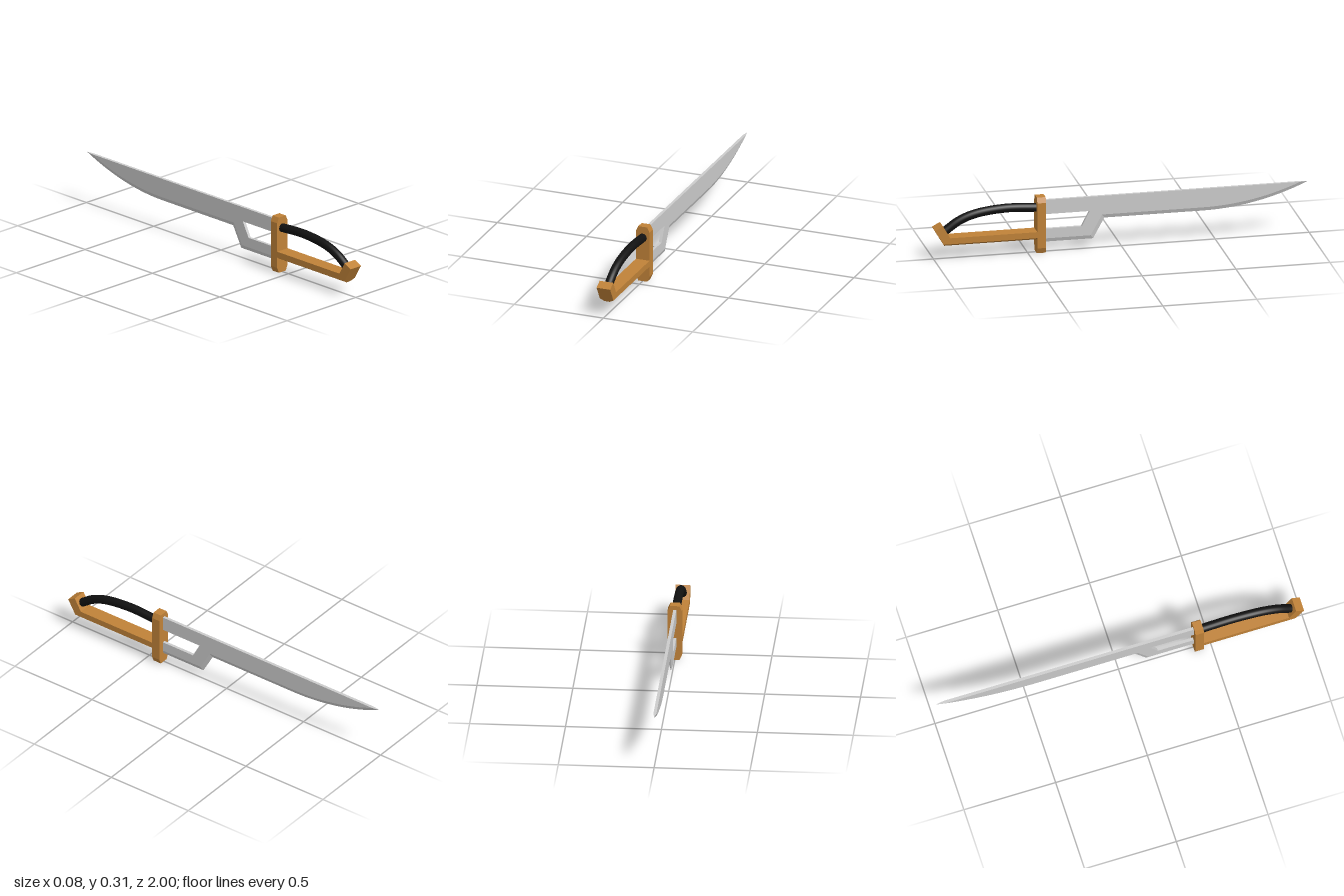
import * as THREE from 'three';

const brass = new THREE.MeshStandardMaterial({ color: 0xc08238, flatShading: true });
const steel = new THREE.MeshStandardMaterial({ color: 0xcccccc, flatShading: true, side: THREE.DoubleSide });
const black = new THREE.MeshStandardMaterial({ color: 0x111111 });

const toShape = (pts) => new THREE.Shape(pts.map(([u, v]) => new THREE.Vector2(u, v)));
const extrude = (pts, depth) =>
  new THREE.ExtrudeGeometry(toShape(pts), { depth, bevelEnabled: false });

// Side profile given as [z, y], extruded across x and centred
const sidePlate = (pts, width) =>
  extrude(pts, width).translate(0, 0, -width / 2).rotateY(-Math.PI / 2);

function add(group, name, geometry, material) {
  const mesh = new THREE.Mesh(geometry, material);
  mesh.name = name;
  group.add(mesh);
}

// Straight points followed by a curve sweeping up to the tip
function edgeLine(straight, start, control, end) {
  const curve = new THREE.QuadraticBezierCurve(
    new THREE.Vector2(...start), new THREE.Vector2(...control), new THREE.Vector2(...end));
  return [...straight, ...curve.getPoints(14).map((p) => [p.x, p.y])];
}

// Ground edge: both flanks run from the blade's flat to a sharp line
function bevelGeometry(inner, outer, half) {
  const pos = [];
  const tri = (...corners) => corners.forEach((c) => pos.push(...c));
  const at = ([z, y], x) => [x, y, z];
  for (let i = 0; i < inner.length - 1; i++) {
    for (const s of [1, -1]) {
      const a = at(inner[i], s * half), b = at(outer[i], 0);
      const c = at(outer[i + 1], 0), d = at(inner[i + 1], s * half);
      if (s > 0) { tri(a, b, c); tri(a, c, d); } else { tri(a, c, b); tri(a, d, c); }
    }
  }
  // Top of the point
  const last = inner.length - 1;
  tri(at(inner[last], half), at(outer[last], 0), at(inner[last], -half));
  const g = new THREE.BufferGeometry();
  g.setAttribute('position', new THREE.Float32BufferAttribute(pos, 3));
  g.computeVertexNormals();
  return g;
}

export function createModel() {
  const model = new THREE.Group();
  model.name = 'sword';

  // Blade with a forked root
  const blade = new THREE.Group();
  blade.name = 'blade';
  const thick = 0.016;
  const outer = edgeLine([[0.43, 0.052], [0.15, 0.052], [0.09, 0.161]],
    [-0.43, 0.161], [-0.72, 0.161], [-0.995, 0.283]);
  const inner = edgeLine([[0.43, 0.072], [0.164, 0.072], [0.104, 0.181]],
    [-0.43, 0.181], [-0.70, 0.181], [-0.95, 0.283]);
  const root = [[0.43, 0.283], [0.43, 0.205], [0.17, 0.205], [0.212, 0.125], [0.43, 0.125]];
  add(blade, 'bladeFlat', sidePlate([...root, ...inner], thick), steel);
  add(blade, 'cuttingEdge', bevelGeometry(inner, outer, thick / 2), steel);
  model.add(blade);

  // Guard plate with clipped corners
  const guard = extrude([
    [-0.025, 0], [0.025, 0], [0.038, 0.03], [0.038, 0.277],
    [0.025, 0.305], [-0.025, 0.305], [-0.038, 0.277], [-0.038, 0.03],
  ], 0.047).translate(0, 0, 0.408);
  add(model, 'guard', guard, brass);

  // Lower rail rising into the slanted pommel
  add(model, 'railAndPommel', sidePlate([
    [0.45, 0.087], [0.954, 0.087], [1.0, 0.165], [0.957, 0.188], [0.918, 0.12], [0.45, 0.12],
  ], 0.076), brass);

  // Chamfered underside of the rail, its end slanted with the pommel
  const keel = extrude([[-0.014, 0.073], [0.014, 0.073], [0.038, 0.087], [-0.038, 0.087]], 0.504)
    .translate(0, 0, 0.45);
  const p = keel.attributes.position;
  for (let i = 0; i < p.count; i++) {
    if (p.getZ(i) > 0.9) p.setZ(i, 0.954 + (p.getY(i) - 0.087) * 0.59);
  }
  keel.computeVertexNormals();
  add(model, 'railUnderside', keel, brass);

  // Curved round grip from guard to pommel
  const gripPath = new THREE.CatmullRomCurve3([
    [0.243, 0.44], [0.251, 0.62], [0.232, 0.78], [0.2, 0.865], [0.15, 0.938],
  ].map(([y, z]) => new THREE.Vector3(0, y, z)));
  add(model, 'grip', new THREE.TubeGeometry(gripPath, 32, 0.023, 20), black);

  return model;
}
